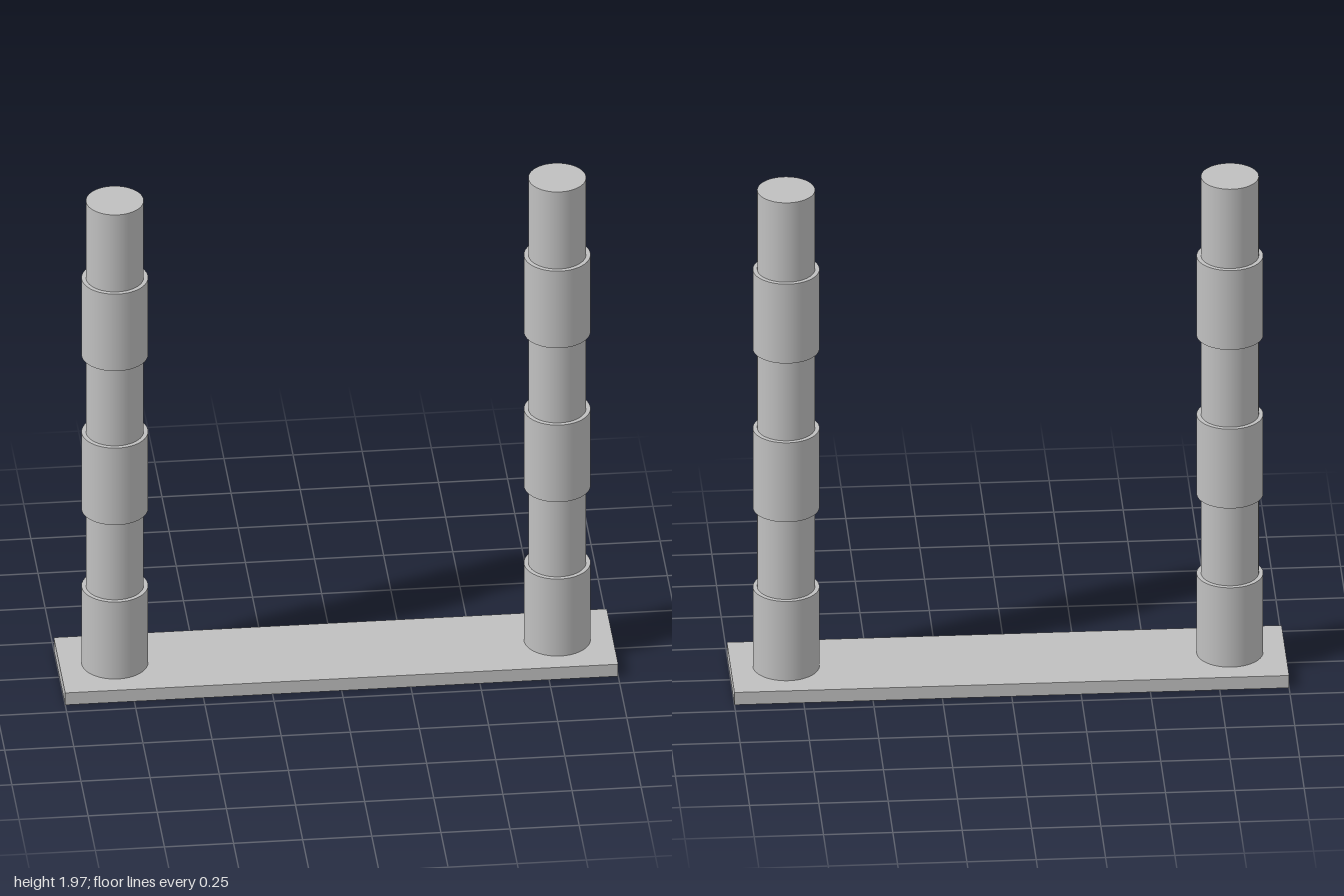
import * as THREE from 'three';

export function createModel() {
  const group = new THREE.Group();
  const grey = new THREE.MeshStandardMaterial({ color: 0xc0c0c0 });
  grey.name = 'grey';

  const baseHeight = 0.05;
  const segmentHeight = 0.32;

  // Flat rectangular base
  const base = new THREE.Mesh(new THREE.BoxGeometry(2, baseHeight, 0.4), grey);
  base.name = 'basePlate';
  base.position.y = baseHeight / 2;
  group.add(base);

  // Two columns of alternating wide and narrow drums
  for (const side of [-1, 1]) {
    const column = new THREE.Group();
    column.name = side > 0 ? 'leftColumn' : 'rightColumn';
    column.position.set(side * 0.8, baseHeight, 0);
    for (let i = 0; i < 6; i++) {
      const wide = i % 2 === 0;
      const radius = wide ? 0.12 : 0.104;
      const drum = new THREE.Mesh(
        new THREE.CylinderGeometry(radius, radius, segmentHeight, 64), grey);
      drum.name = wide ? 'wideDrum' : 'narrowDrum';
      drum.position.y = (i + 0.5) * segmentHeight;
      column.add(drum);
    }
    group.add(column);
  }
  return group;
}
